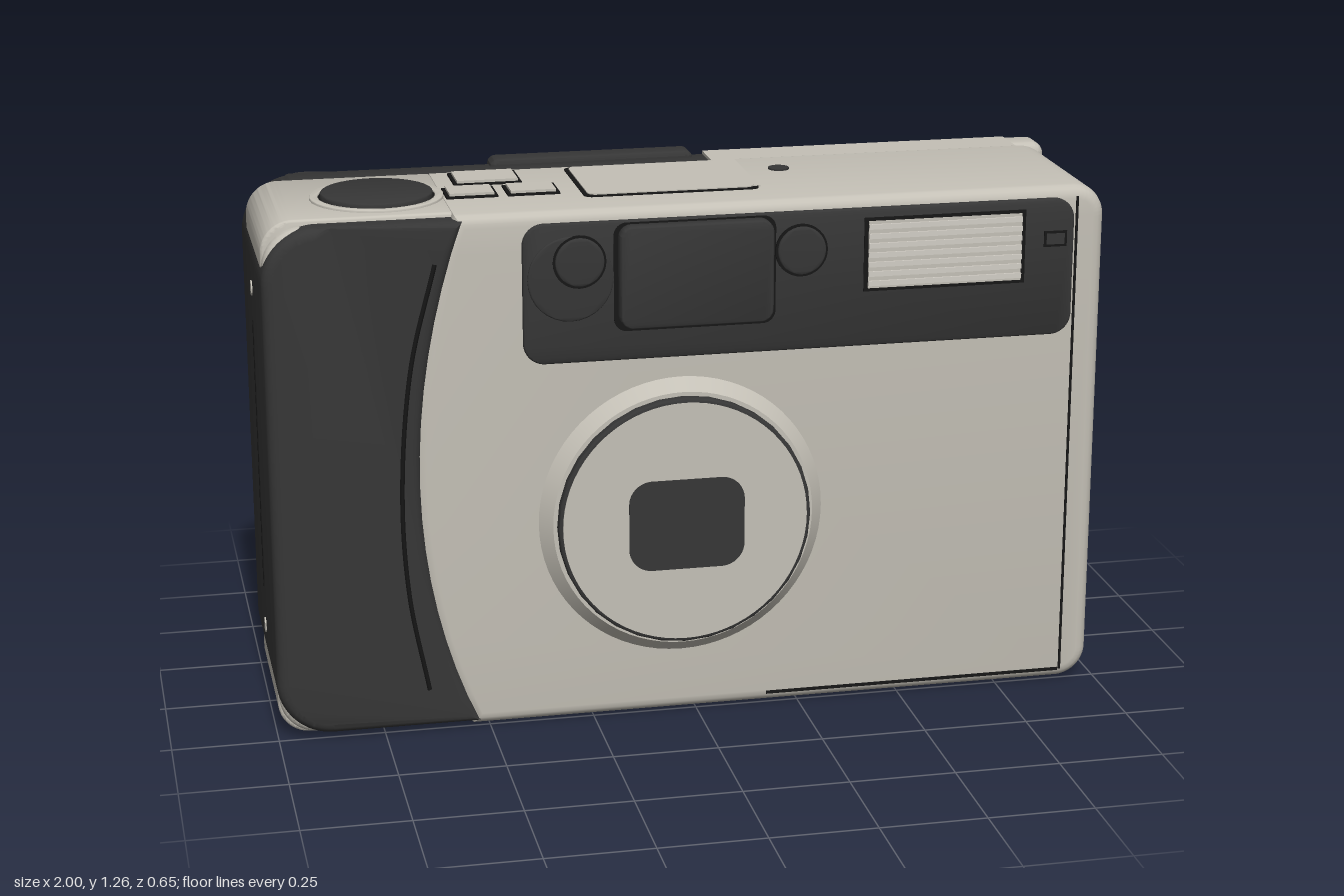
import * as THREE from 'three';
import { toCreasedNormals } from 'three/addons/utils/BufferGeometryUtils.js';

const material = (name, color) => Object.assign(new THREE.MeshStandardMaterial({ color }), { name });

// Rounded rectangle given by two corners
function rect(x0, y0, x1, y1, r = 0) {
  const s = new THREE.Shape();
  if (!r) return s.moveTo(x0, y0).lineTo(x1, y0).lineTo(x1, y1).lineTo(x0, y1).closePath();
  s.absarc(x1 - r, y0 + r, r, -Math.PI / 2, 0);
  s.absarc(x1 - r, y1 - r, r, 0, Math.PI / 2);
  s.absarc(x0 + r, y1 - r, r, Math.PI / 2, Math.PI);
  s.absarc(x0 + r, y0 + r, r, Math.PI, Math.PI * 1.5);
  return s.closePath();
}
const disc = (x, y, r) => new THREE.Shape().absarc(x, y, r, 0, Math.PI * 2);
function ring(x, y, r, w) {
  const s = disc(x, y, r);
  s.holes.push(new THREE.Path().absarc(x, y, r - w, 0, Math.PI * 2, true));
  return s;
}

// Turns a slab facing +z towards another side of the body
const turn = {
  front: (g) => g,
  top: (g) => g.rotateX(-Math.PI / 2), // shape y = -z
  bottom: (g) => g.rotateX(Math.PI / 2), // shape y = z
  left: (g) => g.rotateY(Math.PI / 2), // shape x = -z
  right: (g) => g.rotateY(-Math.PI / 2), // shape x = z
};

export function createModel() {
  const model = new THREE.Group();
  model.name = 'compactCamera';
  const silver = material('warm silver', 0xc4c0b6);
  const dark = material('dark grey plastic', 0x363636);
  const black = material('black seam', 0x161616);
  const pale = material('pale diffuser', 0xd2cec6);

  const add = (name, mat, geo) => {
    const m = new THREE.Mesh(geo, mat);
    m.name = name;
    model.add(m);
    return m;
  };
  // Extruded slab between two depths, with rounded edges
  const slab = (name, mat, shape, d0, d1, bevel = 0, face = 'front') => {
    let g = new THREE.ExtrudeGeometry(shape, {
      depth: d1 - d0 - 2 * bevel, curveSegments: 16, bevelEnabled: bevel > 0,
      bevelThickness: bevel, bevelSize: bevel, bevelOffset: -bevel, bevelSegments: 4,
    });
    g.translate(0, 0, d0 + bevel);
    return add(name, mat, toCreasedNormals(turn[face](g), 0.6));
  };
  const box = (name, mat, x0, x1, y0, y1, z0, z1) => add(name, mat,
    new THREE.BoxGeometry(x1 - x0, y1 - y0, z1 - z0).translate((x0 + x1) / 2, (y0 + y1) / 2, (z0 + z1) / 2));

  // Main shell with a curved edge beside the grip
  const shell = new THREE.Shape();
  shell.moveTo(-0.54, 0.005);
  shell.lineTo(0.905, 0.005);
  shell.absarc(0.905, 0.08, 0.075, -Math.PI / 2, 0);
  shell.absarc(0.905, 1.17, 0.075, 0, Math.PI / 2);
  shell.lineTo(-0.56, 1.245);
  shell.bezierCurveTo(-0.71, 0.82, -0.71, 0.38, -0.54, 0.005);
  slab('mainShell', silver, shell, -0.2, 0.266, 0.03);
  box('topRearCover', silver, 0.13, 0.9, 1.2, 1.243, -0.286, -0.1);
  box('bottomCover', silver, -0.55, 0.86, 0.003, 0.04, -0.25, 0.2);

  // Dark grip wrapping front, side and back
  const grip = new THREE.Shape();
  grip.moveTo(-0.52, 0.015);
  grip.bezierCurveTo(-0.69, 0.38, -0.69, 0.82, -0.54, 1.235);
  grip.lineTo(-0.88, 1.235);
  grip.absarc(-0.87, 1.105, 0.13, Math.PI / 2, Math.PI);
  grip.absarc(-0.87, 0.145, 0.13, Math.PI, Math.PI * 1.5);
  grip.closePath();
  slab('grip', dark, grip, -0.295, 0.274, 0.025);
  slab('gripEndCaps', silver, rect(-0.996, 0.004, -0.5, 1.245, 0.075), -0.18, 0.22, 0.01);
  slab('gripEndCorners', silver, rect(-0.994, 0.012, -0.5, 1.23, 0.09), -0.2, 0.25, 0.02);
  const groove = new THREE.CatmullRomCurve3([[-0.61, 1.14], [-0.67, 0.9], [-0.697, 0.6],
    [-0.687, 0.35], [-0.645, 0.11]].map(([x, y]) => new THREE.Vector3(x, y, 0.272)));
  add('gripGroove', black, new THREE.TubeGeometry(groove, 40, 0.006, 6));

  // Back door and hinge bar
  slab('backDoor', dark, rect(-0.9, 0.012, 0.9, 1.235, 0.02), -0.295, -0.18, 0.012);
  slab('hingeBar', silver, rect(0.87, 0.008, 0.983, 1.242, 0.03), -0.298, -0.2, 0.025);
  slab('eyepiece', dark, rect(-0.4, 0.94, 0.1, 1.252, 0.02), -0.318, -0.25, 0.012);
  slab('eyepieceWindow', dark, rect(-0.36, 0.98, 0.06, 1.22, 0.02), -0.322, -0.31);
  slab('backDial', dark, disc(-0.585, 0.96, 0.2), -0.306, -0.28, 0.006);
  slab('filmWindowFrame', black, rect(-0.775, 0.34, -0.67, 0.67, 0.01), -0.3, -0.28);
  slab('filmWindow', pale, rect(-0.765, 0.35, -0.68, 0.66, 0.01), -0.305, -0.28);
  slab('backPlate', silver, rect(-0.25, 0.03, 0.2, 0.15), -0.299, -0.29);

  // Front window panel
  slab('windowPanel', dark, rect(-0.41, 0.89, 0.9, 1.22, 0.05), 0.255, 0.278, 0.006);
  slab('viewfinderBlock', dark, rect(-0.19, 0.97, 0.17, 1.212, 0.03), 0.27, 0.311, 0.008);
  slab('viewfinderSeam', black, rect(-0.2, 0.96, 0.18, 1.216, 0.03), 0.27, 0.28);
  slab('sensorBoss', dark, disc(-0.3, 1.09, 0.1), 0.27, 0.283, 0.004);
  for (const x of [-0.28, 0.24]) {
    slab('sensorSeam', black, ring(x, 1.13, 0.062, 0.006), 0.27, 0.285);
    slab('sensorWindow', dark, disc(x, 1.13, 0.057), 0.27, 0.292, 0.005);
  }
  slab('flashFrame', black, rect(0.39, 1.022, 0.78, 1.198), 0.27, 0.28);
  slab('flash', silver, rect(0.4, 1.03, 0.77, 1.19), 0.27, 0.283);
  for (let i = 0; i < 7; i++) {
    const y = 1.042 + i * 0.0225;
    box('flashRib', pale, 0.4, 0.77, y - 0.006, y + 0.006, 0.28, 0.288);
  }
  slab('lampSeam', black, rect(0.826, 1.105, 0.882, 1.143), 0.27, 0.2795);
  slab('lamp', dark, rect(0.832, 1.111, 0.876, 1.137), 0.27, 0.281);

  // Lens barrel
  const lensX = -0.04, lensY = 0.5;
  const barrel = (name, mat, r0, r1, z0, z1) => add(name, mat,
    new THREE.CylinderGeometry(r1, r0, z1 - z0, 72).rotateX(Math.PI / 2).translate(lensX, lensY, (z0 + z1) / 2));
  barrel('lensCollar', silver, 0.345, 0.31, 0.26, 0.296);
  slab('lensRim', dark, disc(lensX, lensY, 0.301), 0.28, 0.319, 0.006);
  barrel('lensFace', silver, 0.291, 0.291, 0.3, 0.321);
  slab('lensWindow', dark, rect(-0.175, 0.385, 0.1, 0.605, 0.055), 0.315, 0.324);

  // Front seams
  box('frontSideSeam', black, 0.906, 0.912, 0.03, 1.22, 0.26, 0.268);
  box('frontLowerSeam', black, 0.17, 0.905, 0.026, 0.034, 0.255, 0.267);

  // Top controls
  slab('shutterRing', silver, ring(-0.71, -0.035, 0.155, 0.02), 1.23, 1.251, 0.003, 'top');
  slab('shutterWell', black, disc(-0.71, -0.035, 0.138), 1.23, 1.247, 0, 'top');
  slab('shutterButton', dark, disc(-0.71, -0.035, 0.13), 1.23, 1.26, 0.005, 'top');
  for (const [x0, x1, z0, z1] of [[-0.52, -0.36, -0.145, -0.028], [-0.555, -0.435, 0, 0.095], [-0.412, -0.29, 0, 0.095]]) {
    slab('buttonSeam', black, rect(x0, -z1, x1, -z0), 1.24, 1.25, 0, 'top');
    slab('button', silver, rect(x0 + 0.008, -z1 + 0.008, x1 - 0.008, -z0 - 0.008), 1.24, 1.256, 0, 'top');
  }
  slab('displaySeam', black, rect(-0.24, -0.142, 0.175, 0.155, 0.02), 1.24, 1.2475, 0, 'top');
  slab('displayCover', silver, rect(-0.23, -0.13, 0.165, 0.148, 0.02), 1.24, 1.25, 0, 'top');
  box('displayRightCover', silver, 0.13, 0.18, 1.24, 1.2495, -0.16, 0.12);
  slab('topPin', dark, disc(0.265, 0.05, 0.025), 1.24, 1.249, 0, 'top');

  // Left side: contact, pin, battery door and seams
  slab('contactPlate', dark, rect(-0.15, 0.73, -0.05, 0.815), 0.975, 0.983, 0, 'left');
  slab('sidePin', dark, disc(-0.142, 0.465, 0.012), 0.975, 0.983, 0, 'left');
  slab('batteryDoorSeam', black, ring(-0.03, 0.195, 0.15, 0.004), 0.974, 0.9815, 0, 'left');
  slab('batteryDoor', silver, disc(-0.03, 0.195, 0.146), 0.974, 0.982, 0, 'left');
  slab('batterySlot', dark, rect(-0.09, 0.165, 0.025, 0.225), 0.977, 0.985, 0, 'left');
  box('hingeGroove', black, 0.976, 0.985, 0.12, 1.15, -0.248, -0.242);
  box('sideSeam', black, 0.975, 0.984, 1.158, 1.163, -0.31, 0.18);

  // Right side: strap slit and screws
  slab('strapSlit', black, rect(-0.025, 0.29, -0.013, 0.95), 0.995, 1.002, 0, 'right');
  for (const y of [0.19, 1.03]) slab('sideScrew', silver, disc(-0.02, y, 0.018), 0.995, 1.003, 0, 'right');

  // Underside: foot disc, screws and latch line
  slab('footDisc', dark, disc(0.84, -0.025, 0.16), -0.008, 0, 0, 'bottom');
  for (const x of [-0.47, 0.45]) slab('baseScrew', dark, disc(x, 0, 0.03), -0.008, 0, 0, 'bottom');
  box('baseSeam', black, -0.12, 0.25, 0, 0.006, 0.03, 0.036);

  return model;
}
